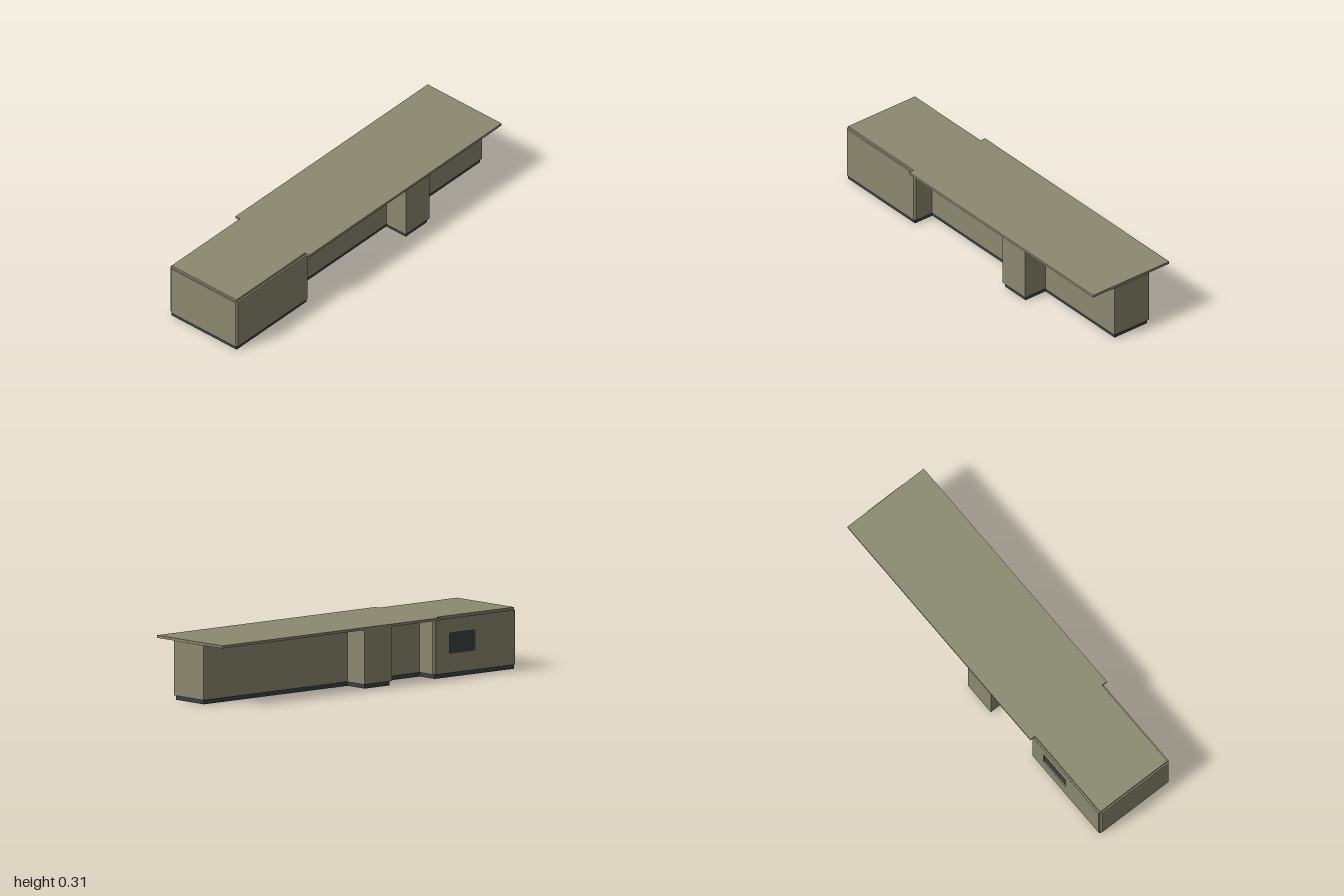
import * as THREE from 'three';

const wallMat = new THREE.MeshStandardMaterial({ color: 0x8b8970 });
wallMat.name = 'olive grey cladding';
const darkMat = new THREE.MeshStandardMaterial({ color: 0x394043 });
darkMat.name = 'dark slate';

// Upright prism from a plan outline of [x, z] points
function prism(name, outline, y0, y1, material) {
  const shape = new THREE.Shape(outline.map(([x, z]) => new THREE.Vector2(x, -z)));
  const geo = new THREE.ExtrudeGeometry(shape, { depth: y1 - y0, bevelEnabled: false });
  geo.rotateX(-Math.PI / 2).translate(0, y0, 0);
  const mesh = new THREE.Mesh(geo, material);
  mesh.name = name;
  return mesh;
}

// One side of the plan, front to back: wide front block, narrow spine, one bay.
// grow pushes the walls out, cut chamfers the front block's corners.
function side(sign, bayFront, bayBack, grow, cut, blockX = 0.218 + grow) {
  return [
    [blockX - cut, 0.992 + grow], [blockX, 0.992 + grow - cut],
    [blockX, 0.458 - grow + cut], [blockX - cut, 0.458 - grow],
    [0.105 + grow, 0.458 - grow],
    [0.105 + grow, bayFront + grow], [0.235 + grow, bayFront + grow],
    [0.235 + grow, bayBack - grow], [0.105 + grow, bayBack - grow],
    [0.105 + grow, -0.992 - grow],
  ].map(([x, z]) => [x * sign, z]);
}

function footprint(grow, cut, rightBlockX) {
  return [
    ...side(1, -0.278, -0.442, grow, cut),
    ...side(-1, 0.14, -0.027, grow, cut, rightBlockX).reverse(),
  ];
}

export function createModel() {
  const group = new THREE.Group();
  group.name = 'building';

  // Recessed plinth and main walls
  group.add(prism('plinth', footprint(0, 0.0005), 0, 0.022, darkMat));
  group.add(prism('walls', footprint(0.008, 0.009, 0.218), 0.022, 0.3, wallMat));

  // Flat roof, narrower over the front block and overhanging behind it
  const half = [[0.217, 0.992], [0.217, 0.47], [0.247, 0.47], [0.247, -0.995]];
  const roof = [...half, ...half.map(([x, z]) => [-x, z]).reverse()];
  group.add(prism('roof', roof, 0.3, 0.313, wallMat));

  // Wall panel with a window opening on the front block
  const rect = (Type, z0, z1, y0, y1) => new Type([
    new THREE.Vector2(z0, y0), new THREE.Vector2(z1, y0),
    new THREE.Vector2(z1, y1), new THREE.Vector2(z0, y1),
  ]);
  const panelShape = rect(THREE.Shape, 0.46, 0.99, 0.022, 0.3);
  panelShape.holes.push(rect(THREE.Path, 0.55, 0.726, 0.122, 0.225));
  const panelGeo = new THREE.ExtrudeGeometry(panelShape, { depth: 0.008, bevelEnabled: false });
  panelGeo.rotateY(-Math.PI / 2).translate(-0.218, 0, 0);
  const panel = new THREE.Mesh(panelGeo, wallMat);
  panel.name = 'windowWall';
  group.add(panel);

  // Dark pane set back in the opening
  const pane = new THREE.Mesh(new THREE.BoxGeometry(0.002, 0.103, 0.176), darkMat);
  pane.name = 'windowPane';
  pane.position.set(-0.218, 0.1735, 0.638);
  group.add(pane);

  return group;
}
